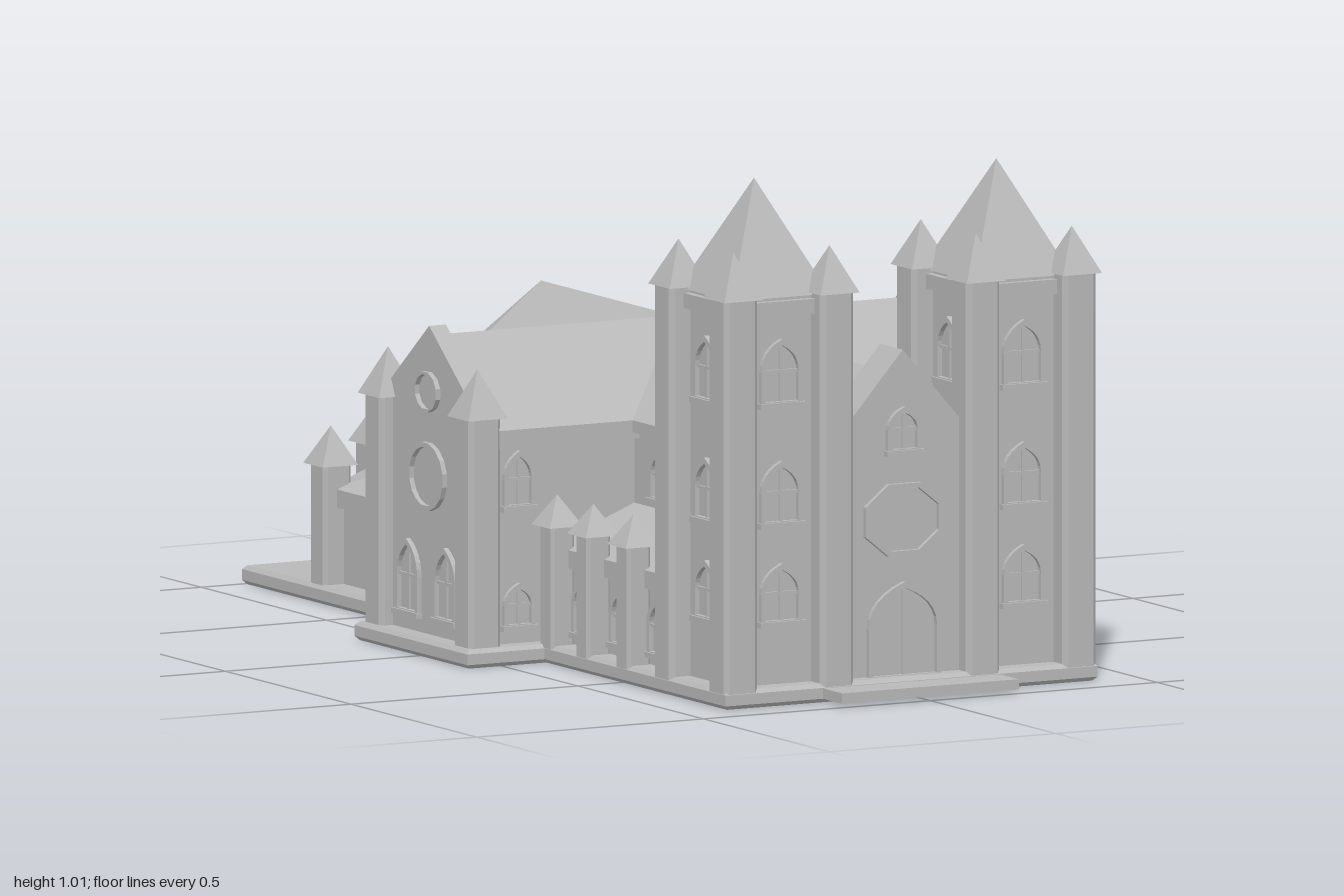
import * as THREE from 'three';

const stone = new THREE.MeshStandardMaterial({ color: 0xb8b8b8, side: THREE.DoubleSide });
stone.name = 'grey stone';

export function createModel() {
  const model = new THREE.Group();
  model.name = 'church';

  const add = (name, geometry, parent = model) => {
    const g = geometry.index ? geometry.toNonIndexed() : geometry;
    g.computeVertexNormals();
    const mesh = new THREE.Mesh(g, stone);
    mesh.name = name;
    parent.add(mesh);
    return mesh;
  };

  const box = (name, x0, x1, y0, y1, z0, z1, parent) =>
    add(name, new THREE.BoxGeometry(x1 - x0, y1 - y0, z1 - z0)
      .translate((x0 + x1) / 2, (y0 + y1) / 2, (z0 + z1) / 2), parent);

  // Ground plan of [x, z] points raised from y0 to y1
  const raise = (name, pts, y0, y1, bevel = 0) => {
    const shape = new THREE.Shape(pts.map(([x, z]) => new THREE.Vector2(x, -z)));
    const g = new THREE.ExtrudeGeometry(shape, {
      depth: y1 - y0 - 2 * bevel, bevelEnabled: bevel > 0, bevelSegments: 1,
      bevelThickness: bevel, bevelSize: bevel, bevelOffset: -bevel,
    });
    return add(name, g.rotateX(-Math.PI / 2).translate(0, y0 + bevel, 0));
  };

  // Add the x-mirrored half of a plan or polyline
  const mirrored = (pts) => [...pts, ...pts.slice().reverse().map(([x, ...r]) => [-x, ...r])];

  // Sloping roof faces between an eave line and an upper line
  const roof = (name, low, high) => {
    const v = [];
    for (let i = 0; i + 1 < low.length; i++) {
      v.push(...low[i], ...low[i + 1], ...high[i + 1]);
      if (high[i].some((c, k) => c !== high[i + 1][k])) v.push(...low[i], ...high[i + 1], ...high[i]);
    }
    const g = new THREE.BufferGeometry();
    g.setAttribute('position', new THREE.Float32BufferAttribute(v, 3));
    return add(name, g);
  };

  const spire = (name, x, z, y0, y1, half) =>
    add(name, new THREE.ConeGeometry(half * Math.SQRT2, y1 - y0, 4)
      .rotateY(Math.PI / 4).translate(x, (y0 + y1) / 2, z));

  // Chamfered pillar with a pyramid cap
  const pillar = (name, x, z, half, top, tip, capHalf) => {
    const c = half * 0.74;
    raise(name, [[half, c], [half, -c], [c, -half], [-c, -half], [-half, -c], [-half, c], [-c, half], [c, half]]
      .map(([a, b]) => [x + a, z + b]), 0.03, top);
    spire(name + 'Cap', x, z, top, tip, capHalf);
  };

  // Group standing on a wall, its +z pointing outwards at the given angle
  const onWall = (name, x, y, z, angle) => {
    const g = new THREE.Group();
    g.name = name;
    g.position.set(x, y, z);
    g.rotation.y = angle;
    model.add(g);
    return g;
  };

  const archPath = (Kind, w, y0, spring, h) => {
    const p = new Kind();
    p.moveTo(-w / 2, y0).lineTo(w / 2, y0).lineTo(w / 2, spring);
    p.quadraticCurveTo(w / 2, spring + (h - spring) * 0.65, 0, h);
    p.quadraticCurveTo(-w / 2, spring + (h - spring) * 0.65, -w / 2, spring);
    return p;
  };
  const frameOptions = { depth: 0.016, bevelEnabled: false, curveSegments: 6 };

  // Arched frame with mullion, crossbar and sill
  const archWindow = (x, y, z, angle, w, h, door = false) => {
    const g = onWall(door ? 'door' : 'window', x, y, z, angle);
    const t = 0.01, spring = h * 0.52;
    const shape = archPath(THREE.Shape, w, 0, spring, h);
    shape.holes.push(archPath(THREE.Path, w - 2 * t, door ? 0.001 : t, spring, h - t * 1.2));
    add('frame', new THREE.ExtrudeGeometry(shape, frameOptions).translate(0, 0, -0.006), g);
    box('mullion', -0.003, 0.003, 0, h - t, -0.004, 0.005, g);
    if (door) return;
    box('crossbar', -w / 2 + t, w / 2 - t, spring - 0.003, spring + 0.003, -0.004, 0.005, g);
    box('sill', -w / 2 - 0.004, w / 2 + 0.004, -0.003, 0.008, -0.004, 0.015, g);
  };

  // Round or eight-sided frame
  const roseWindow = (x, y, z, angle, rx, ry, sides, turn) => {
    const ring = (k) => Array.from({ length: sides }, (_, i) => {
      const a = (i + turn) * 2 * Math.PI / sides;
      return new THREE.Vector2(Math.cos(a) * rx * k, Math.sin(a) * ry * k);
    });
    const shape = new THREE.Shape(ring(1));
    shape.holes.push(new THREE.Path(ring(0.86)));
    const g = onWall('roseWindow', x, y, z, angle);
    add('frame', new THREE.ExtrudeGeometry(shape, frameOptions).translate(0, 0, -0.006), g);
  };

  // Gabled wall slab: half width, eave height, apex height, thickness
  const gable = (name, half, eave, apex, depth, x, z, angle) => {
    const s = new THREE.Shape([[-half, 0.03], [half, 0.03], [half, eave], [0, apex], [-half, eave]]
      .map((p) => new THREE.Vector2(...p)));
    add(name, new THREE.ExtrudeGeometry(s, { depth, bevelEnabled: false }).translate(0, 0, -depth),
      onWall(name + 'Wall', x, 0, z, angle));
  };

  const R = Math.PI / 2;
  const sides = [1, -1];
  const zT = -0.02; // transept axis

  // Plinth and front step
  raise('plinth', mirrored([[0.41, 0.925], [0.41, 0.205], [0.58, 0.205], [0.58, -0.245], [0.41, -0.245], [0.41, -1]]),
    0, 0.037, 0.008);
  box('frontStep', -0.195, 0.195, 0.008, 0.028, 0.9, 1);

  // Nave with apse
  raise('naveWall', mirrored([[0.19, 0.86], [0.19, -0.54], [0.1, -0.68]]), 0.03, 0.45);
  raise('naveEave', mirrored([[0.205, 0.8], [0.205, -0.55], [0.11, -0.695]]), 0.433, 0.457);
  roof('naveRoof',
    mirrored([[0.207, 0.457, 0.85], [0.207, 0.457, -0.55], [0.112, 0.457, -0.7]]),
    mirrored([[0, 0.62, 0.85], [0, 0.62, -0.55], [0, 0.62, -0.55]]).map((p) => p.map((c) => c + 0)));

  // Aisles running round the apse
  raise('aisleWall', mirrored([[0.36, 0.68], [0.36, -0.71], [0.15, -0.92]]), 0.03, 0.2);
  raise('aisleEave', mirrored([[0.375, 0.68], [0.375, -0.715], [0.157, -0.935]]), 0.187, 0.222);
  roof('aisleRoof',
    mirrored([[0.375, 0.222, 0.68], [0.375, 0.222, -0.715], [0.157, 0.222, -0.935]]),
    mirrored([[0.188, 0.292, 0.68], [0.188, 0.295, -0.54], [0.1, 0.312, -0.68]]));

  // Transept
  box('transeptWall', -0.52, 0.52, 0.03, 0.45, zT - 0.185, zT + 0.185);
  box('transeptEave', -0.52, 0.52, 0.42, 0.457, zT - 0.205, zT + 0.205);
  for (const s of sides) {
    roof('transeptRoof', [[0.52 * s, 0.457, zT + 0.21 * s], [-0.52 * s, 0.457, zT + 0.21 * s]].reverse(),
      [[0.52 * s, 0.62, zT], [-0.52 * s, 0.62, zT]].reverse());
  }

  // Front gable, door and windows
  gable('frontGable', 0.135, 0.518, 0.67, 0.09, 0, 0.89, 0);
  archWindow(0, 0.037, 0.89, 0, 0.16, 0.182, true);
  roseWindow(0, 0.34, 0.89, 0, 0.094, 0.076, 8, 0.5);
  archWindow(0, 0.468, 0.89, 0, 0.075, 0.092);

  for (const s of sides) {
    // Front towers
    const tx = 0.267 * s, tz = 0.78;
    box('towerBody', tx - 0.1, tx + 0.1, 0.03, 0.79, tz - 0.103, tz + 0.103);
    box('towerCornice', tx - 0.115, tx + 0.115, 0.755, 0.784, tz - 0.117, tz + 0.117);
    spire('towerSpire', tx, tz, 0.79, 1.01, 0.107);
    for (const dx of [-0.106, 0.106]) for (const dz of [-0.109, 0.109]) {
      pillar('towerPillar', tx + dx, tz + dz, 0.037, 0.795, 0.885, 0.043);
    }
    for (const [y, h] of [[0.578, 0.132], [0.345, 0.127], [0.152, 0.12]]) {
      archWindow(tx, y, tz + 0.103, 0, 0.092, h);
      archWindow(tx + 0.1 * s, y, tz, s * R, 0.092, h);
    }
    archWindow(tx, 0.578, tz - 0.103, Math.PI, 0.092, 0.132);
    archWindow(tx - 0.1 * s, 0.578, tz, -s * R, 0.092, 0.132);

    // Transept gable ends
    gable('transeptGable', 0.185, 0.49, 0.638, 0.037, 0.54 * s, zT, s * R);
    roseWindow(0.54 * s, 0.51, zT, s * R, 0.046, 0.04, 12, 0.5);
    roseWindow(0.54 * s, 0.345, zT, s * R, 0.072, 0.067, 16, 0.5);
    for (const d of sides) {
      archWindow(0.54 * s, 0.067, zT + 0.075 * d, s * R, 0.09, 0.148);
      pillar('transeptPillar', 0.532 * s, zT + 0.178 * d, 0.035, 0.482, 0.575, 0.043);
      const facing = d > 0 ? 0 : Math.PI;
      archWindow(0.447 * s, 0.298, zT + 0.185 * d, facing, 0.07, 0.115);
      archWindow(0.447 * s, 0.065, zT + 0.185 * d, facing, 0.07, 0.09);
    }

    // Clerestory and aisle windows
    for (const z of [0.58, 0.43, 0.28, -0.28, -0.435]) {
      archWindow(0.19 * s, 0.305, z, s * R, 0.085, 0.105);
      archWindow(0.36 * s, 0.055, z, s * R, 0.085, 0.115);
    }
    archWindow(0.145 * s, 0.305, -0.61, s * Math.atan2(0.14, -0.09), 0.08, 0.11);
    archWindow(0.255 * s, 0.055, -0.815, s * R * 1.5, 0.09, 0.112);

    // Buttresses
    for (const [x, z] of [[0.385, 0.513], [0.385, 0.353], [0.385, 0.21], [0.385, -0.35], [0.372, -0.715], [0.153, -0.932]]) {
      const big = z < -0.7;
      pillar('buttress', x * s, z, big ? 0.031 : 0.026, 0.268, big ? 0.343 : 0.328, big ? 0.039 : 0.037);
    }
  }
  archWindow(0, 0.305, -0.68, Math.PI, 0.08, 0.11);
  archWindow(0, 0.055, -0.92, Math.PI, 0.09, 0.112);

  return model;
}
